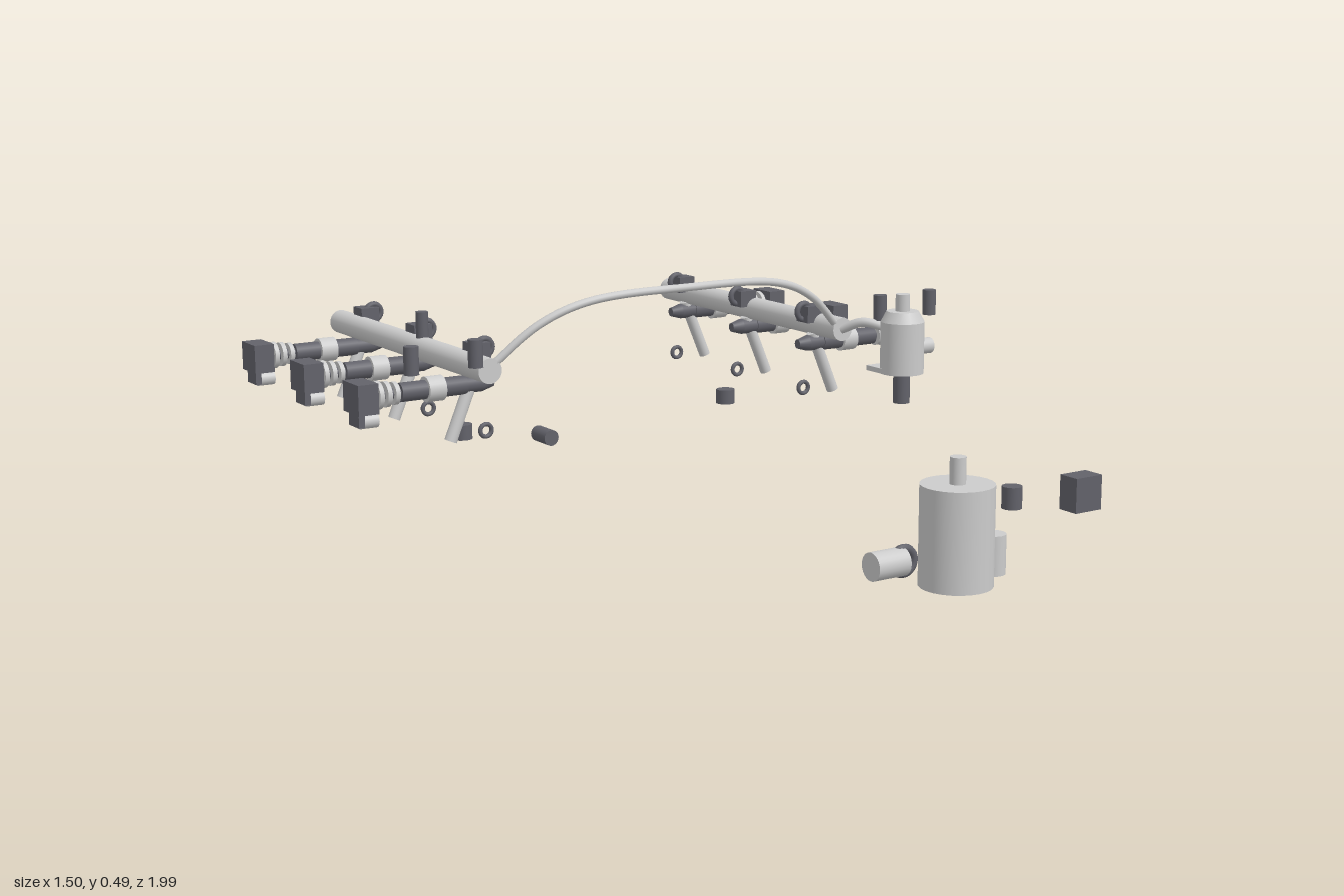
import * as THREE from 'three';

const light = new THREE.MeshStandardMaterial({ color: 0xcccccc });
const dark = new THREE.MeshStandardMaterial({ color: 0x62626a });
const V = (x, y, z) => new THREE.Vector3(x, y, z);

export function createModel() {
  const root = new THREE.Group();
  root.name = 'fuelSystem';

  const add = (parent, name, geo, mat, x = 0, y = 0, z = 0) => {
    const m = new THREE.Mesh(geo, mat);
    m.name = name;
    m.position.set(x, y, z);
    parent.add(m);
    return m;
  };
  const box = (p, name, mat, w, h, d, x, y, z) =>
    add(p, name, new THREE.BoxGeometry(w, h, d), mat, x, y, z);
  // Cylinder between two points
  const rod = (p, name, mat, a, b, r, r2 = r) => {
    const dir = b.clone().sub(a);
    const m = add(p, name, new THREE.CylinderGeometry(r2, r, dir.length(), 24), mat);
    m.position.copy(a).add(b).multiplyScalar(0.5);
    m.quaternion.setFromUnitVectors(V(0, 1, 0), dir.normalize());
    return m;
  };
  const ring = (p, name, r, tube, x, y, z) =>
    add(p, name, new THREE.TorusGeometry(r, tube, 10, 28), dark, x, y, z);
  const pipe = (p, name, pts, r) =>
    add(p, name, new THREE.TubeGeometry(new THREE.CatmullRomCurve3(pts), 64, r, 12), light);

  // Rails with three injectors each, mirrored left and right
  for (const s of [1, -1]) {
    const bank = new THREE.Group();
    bank.name = s > 0 ? 'leftBank' : 'rightBank';
    root.add(bank);
    rod(bank, 'rail', light, V(s * 0.47, 0.335, -0.23), V(s * 0.47, 0.335, -1), 0.028);

    for (const z of [-0.333, -0.617, -0.9]) {
      const inj = new THREE.Group();
      inj.name = 'injector';
      inj.position.z = z;
      bank.add(inj);
      const y = 0.29;
      const along = (name, mat, x0, x1, r, r2) =>
        rod(inj, name, mat, V(s * x0, y, 0), V(s * x1, y, 0), r, r2);

      // Plug, insulating discs and stepped body
      box(inj, 'connector', dark, 0.047, 0.066, 0.077, s * 0.724, y, 0);
      along('connectorPin', dark, 0.63, 0.705, 0.013);
      [0.688, 0.668, 0.648].forEach((x, i) =>
        along('disc', light, x - 0.005, x + 0.005, 0.031 - i * 0.003));
      along('upperBody', dark, 0.575, 0.636, 0.021);
      along('collar', light, 0.535, 0.575, 0.028);
      along('lowerBody', dark, 0.48, 0.535, 0.021);
      along('neck', dark, 0.44, 0.48, 0.019);
      along('nozzle', dark, 0.44, 0.412, 0.019, 0.011);

      // Retaining clip above the rail and seals
      box(inj, 'clip', dark, 0.045, 0.04, 0.046, s * 0.448, 0.362, 0);
      ring(inj, 'upperSeal', 0.019, 0.007, s * 0.43, 0.368, 0);
      ring(inj, 'lowerSeal', 0.014, 0.005, s * 0.43, 0.182, 0);

      // Sloping feed tube and small hose end beneath the plug
      rod(inj, 'feedTube', light, V(s * 0.455, 0.315, 0), V(s * 0.517, 0.168, 0), 0.014);
      rod(inj, 'hoseEnd', light, V(s * 0.69, 0.237, 0), V(s * 0.73, 0.237, 0), 0.016);
      box(inj, 'hoseClip', dark, 0.014, 0.03, 0.05, s * 0.735, 0.243, 0);
    }

    // Loose sensors around each bank
    for (const x of [0.535, 0.683])
      rod(bank, 'sensor', dark, V(s * x, 0.36, -0.17), V(s * x, 0.42, -0.17), 0.016);
    rod(bank, 'knockSensor', dark, V(s * 0.366, 0.11, -0.575), V(s * 0.366, 0.145, -0.575), 0.023);
  }
  rod(root, 'temperatureSensor', dark, V(-0.47, 0.36, -0.555), V(-0.47, 0.42, -0.555), 0.014);
  rod(root, 'rearSensor', dark, V(0, 0.022, -0.808), V(0, 0.022, -0.878), 0.02);

  // Arched pipe joining the rails
  pipe(root, 'crossoverPipe', [
    V(-0.47, 0.335, -0.245), V(-0.36, 0.428, -0.21), V(-0.25, 0.471, -0.189), V(0, 0.483, -0.177),
    V(0.25, 0.471, -0.189), V(0.36, 0.428, -0.21), V(0.47, 0.335, -0.245)], 0.009);

  // Pressure regulator beside the left rail
  const reg = new THREE.Group();
  reg.name = 'regulator';
  reg.position.set(0.568, 0, -0.126);
  root.add(reg);
  rod(reg, 'regulatorBody', light, V(0, 0.237, 0), V(0, 0.36, 0), 0.052);
  rod(reg, 'regulatorCap', light, V(0, 0.36, 0), V(0, 0.385, 0), 0.052, 0.038);
  rod(reg, 'vacuumPort', light, V(0, 0.38, 0), V(0, 0.425, 0), 0.017);
  rod(reg, 'returnPort', dark, V(0, 0.165, 0), V(0, 0.24, 0), 0.02);
  rod(reg, 'sidePort', light, V(0.04, 0.295, 0), V(0.083, 0.295, 0), 0.019);
  box(reg, 'bracket', light, 0.1, 0.012, 0.075, 0, 0.243, -0.035);
  pipe(root, 'regulatorPipe', [
    V(0.47, 0.335, -0.235), V(0.5, 0.355, -0.19), V(0.55, 0.34, -0.14)], 0.011);

  // Fuel pump canister with its attached parts
  const pump = new THREE.Group();
  pump.name = 'pump';
  pump.position.z = 0.766;
  root.add(pump);
  rod(pump, 'pumpBody', light, V(0, 0.027, 0), V(0, 0.227, 0), 0.073);
  rod(pump, 'pumpOutlet', light, V(0, 0.22, 0), V(0, 0.28, 0), 0.016);
  rod(pump, 'pumpFilter', light, V(0.09, 0.036, 0), V(0.09, 0.116, 0), 0.027);
  rod(pump, 'pumpSensor', dark, V(0.12, 0.166, 0.019), V(0.12, 0.21, 0.019), 0.02);
  box(root, 'relay', dark, 0.064, 0.068, 0.046, 0.202, 0.208, 0.888);

  // Purge valve with its seal
  rod(root, 'purgeValve', light, V(-0.36, 0.168, 0.967), V(-0.29, 0.168, 0.967), 0.026);
  ring(root, 'purgeSeal', 0.023, 0.008, -0.289, 0.168, 0.967);

  return root;
}
